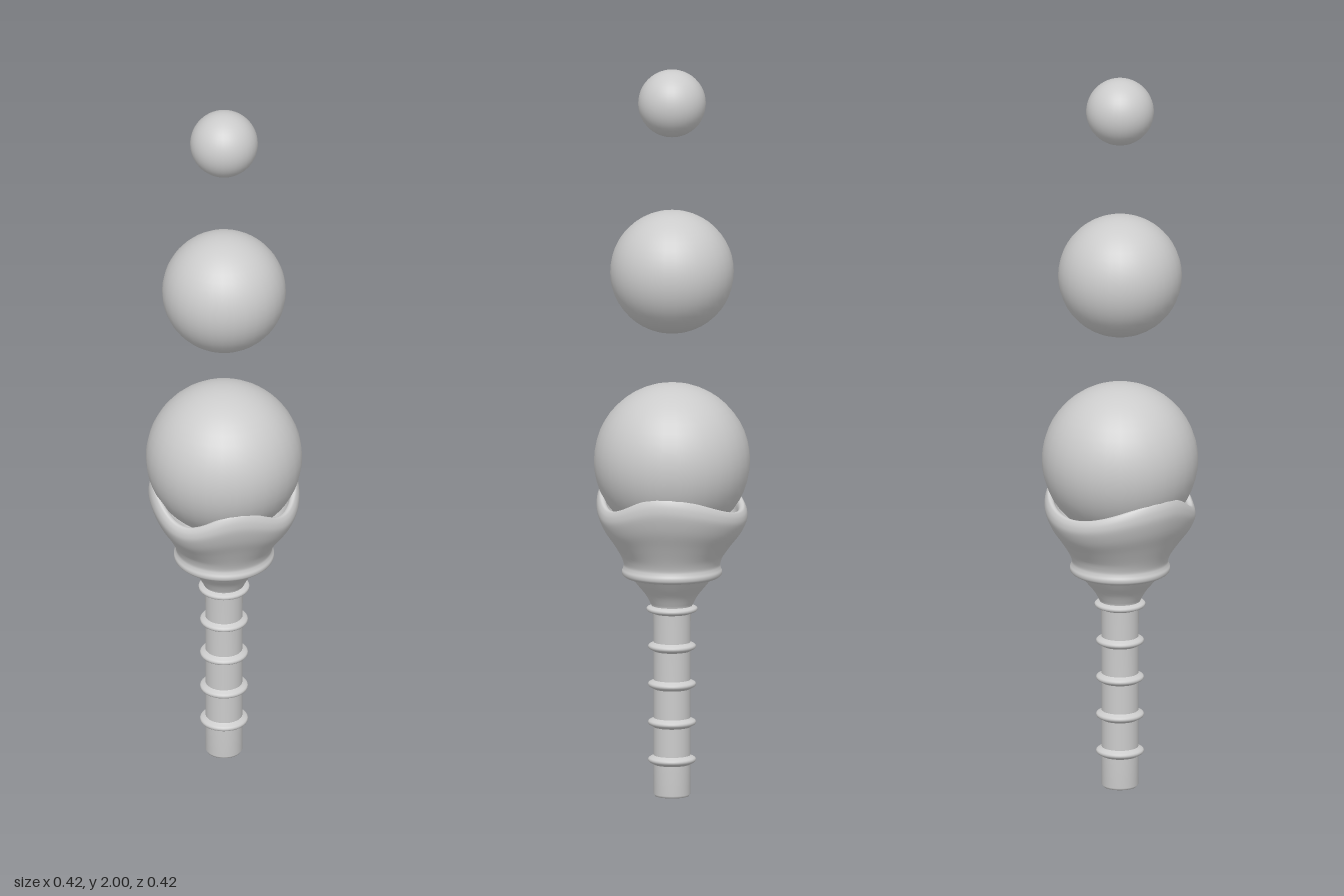
import * as THREE from 'three';
import { mergeVertices } from 'three/addons/utils/BufferGeometryUtils.js';

const material = new THREE.MeshStandardMaterial({ color: 0xcccccc, side: THREE.DoubleSide });

// Smooth lathe with a welded seam; bend(v) may move each vertex
function turned(points, segments, bend) {
  let g = new THREE.LatheGeometry(points.map(([r, y]) => new THREE.Vector2(r, y)), segments);
  if (bend) {
    const p = g.attributes.position, v = new THREE.Vector3();
    for (let i = 0; i < p.count; i++) {
      bend(v.fromBufferAttribute(p, i));
      p.setXYZ(i, v.x, v.y, v.z);
    }
    g.deleteAttribute('uv');
    g.deleteAttribute('normal');
    g = mergeVertices(g, 1e-5);
    g.computeVertexNormals();
  }
  return g;
}

// Smooth curve through profile points
const smooth = (points, n) =>
  new THREE.SplineCurve(points.map(([r, y]) => new THREE.Vector2(r, y))).getPoints(n).map(p => [p.x, p.y]);

// Wavy rim: [angle from the front towards +x, height], alternating dips and peaks
const RIM = [[0, 0.795], [48, 0.852], [93, 0.802], [145, 0.853], [226, 0.795], [311, 0.852], [360, 0.795]];
function rimHeight(x, z) {
  const a = (THREE.MathUtils.radToDeg(Math.atan2(x, z)) + 360) % 360;
  const i = Math.max(1, RIM.findIndex(([deg]) => deg >= a));
  const [a0, h0] = RIM[i - 1], [a1, h1] = RIM[i];
  return h0 + (h1 - h0) * (1 - Math.cos(Math.PI * (a - a0) / (a1 - a0))) / 2;
}

export function createModel() {
  const group = new THREE.Group();
  const add = (name, geometry, y = 0) => {
    const mesh = new THREE.Mesh(geometry, material);
    mesh.name = name;
    mesh.position.y = y;
    group.add(mesh);
    return mesh;
  };

  // Handle shaft with a bevelled foot and a flared neck
  add('handleShaft', turned([
    [0, 0], [0.046, 0], [0.05, 0.006], [0.05, 0.1], [0.05, 0.3], [0.051, 0.5],
    ...smooth([[0.055, 0.525], [0.07, 0.553], [0.092, 0.58], [0.112, 0.606]], 10),
  ], 32));

  // Grip rings, rounded in section
  for (const y of [0.1, 0.203, 0.308, 0.412, 0.515]) {
    const r = y > 0.5 ? 0.069 : 0.065;
    add('gripRing', turned(smooth([
      [0.048, y - 0.014], [0.054, y - 0.01], [r - 0.002, y - 0.005], [r, y],
      [r - 0.002, y + 0.005], [0.054, y + 0.01], [0.048, y + 0.014],
    ], 12), 32));
  }

  // Cup: collar bead, bulging wall, rounded wavy lip and inner wall
  const BASE = 0.66, TOP = 0.85;
  const outer = smooth([
    [0.125, 0.604], [0.134, 0.61], [0.136, 0.62], [0.132, 0.63], [0.131, 0.642], [0.141, 0.668],
    [0.163, 0.71], [0.188, 0.755], [0.203, 0.798], [0.204, 0.825], [0.199, 0.843], [0.193, 0.85],
    [0.184, 0.846], [0.179, 0.83], [0.175, 0.79], [0.15, 0.74], [0.1, 0.69],
  ], 64);
  add('cup', turned([[0.06, 0.602], ...outer, [0, 0.665]], 96, v => {
    if (v.y > BASE) v.y = BASE + (v.y - BASE) * (rimHeight(v.x, v.z) - BASE) / (TOP - BASE);
  }));

  // Ball in the cup and the two balls floating above it
  for (const [name, r, y] of [['largeBall', 0.212, 0.924], ['middleBall', 0.168, 1.444], ['smallBall', 0.092, 1.908]])
    add(name, new THREE.SphereGeometry(r, 32, 24), y);

  return group;
}
